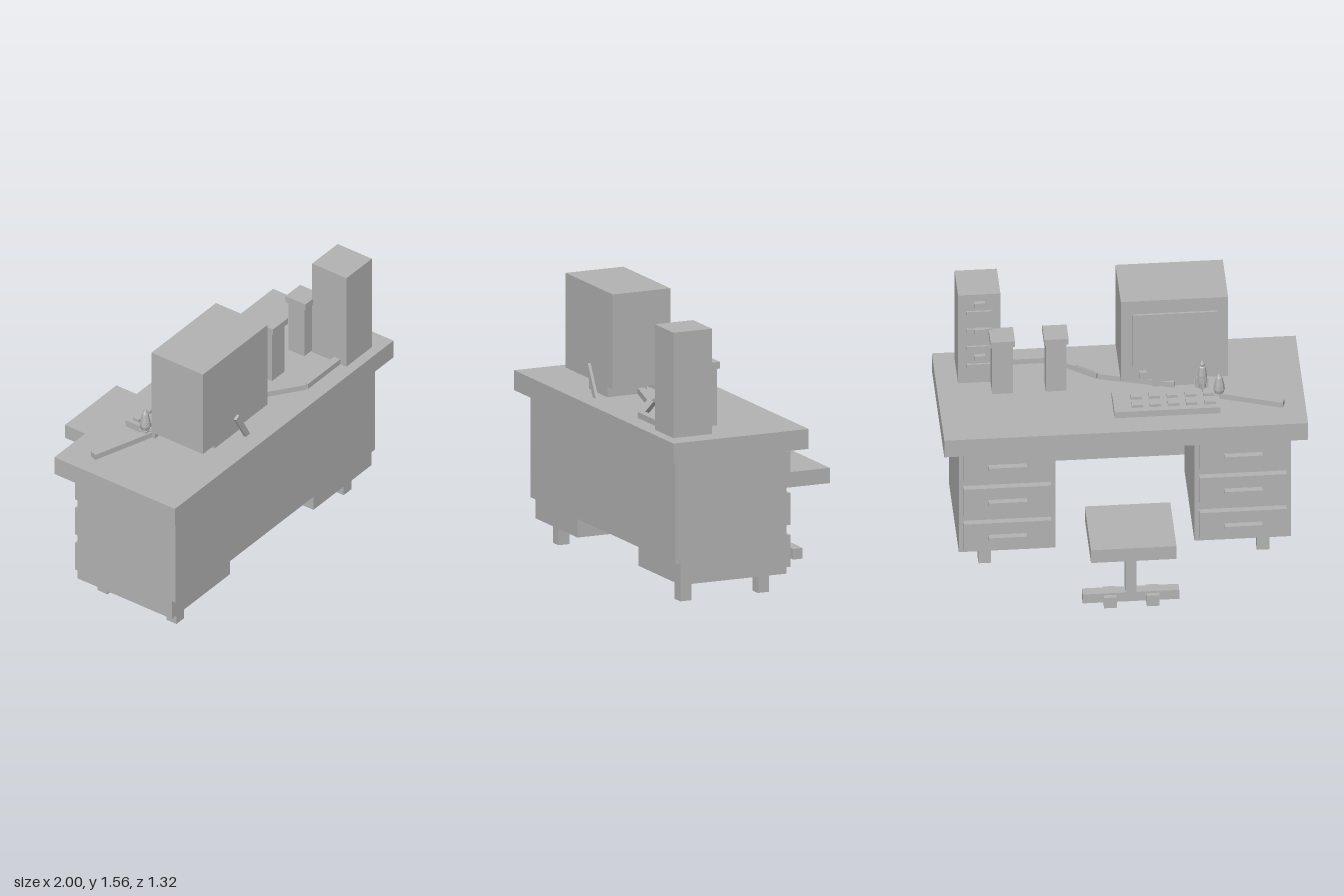
import * as THREE from 'three';

export function createModel() {
  const root = new THREE.Group();
  const grey = new THREE.MeshStandardMaterial({ color: 0xb3b3b3 });
  grey.name = 'plain grey';
  const facets = grey;

  function group(name) {
    const g = new THREE.Group();
    g.name = name;
    root.add(g);
    return g;
  }
  // Box given by its limits on each axis
  function box(parent, name, x0, x1, y0, y1, z0, z1) {
    const m = new THREE.Mesh(new THREE.BoxGeometry(x1 - x0, y1 - y0, z1 - z0), grey);
    m.position.set((x0 + x1) / 2, (y0 + y1) / 2, (z0 + z1) / 2);
    m.name = name;
    parent.add(m);
    return m;
  }
  // Flat strip lying on the desk between two points (x, z)
  function strip(parent, name, [xa, za], [xb, zb], w = 0.042) {
    const len = Math.hypot(xb - xa, zb - za);
    const m = new THREE.Mesh(new THREE.BoxGeometry(len, 0.035, w), grey);
    m.position.set((xa + xb) / 2, 0.9575, (za + zb) / 2);
    m.rotation.y = -Math.atan2(zb - za, xb - xa);
    m.name = name;
    parent.add(m);
  }
  // Bar tilted in the front plane between two points (x, y)
  function tilted(parent, name, [xa, ya], [xb, yb], h, z0, z1) {
    const m = box(parent, name, 0, Math.hypot(xb - xa, yb - ya), 0, h, z0, z1);
    m.position.set((xa + xb) / 2, (ya + yb) / 2, (z0 + z1) / 2);
    m.rotation.z = Math.atan2(yb - ya, xb - xa);
  }
  function lathe(parent, name, pts, x, z, sides) {
    const geo = new THREE.LatheGeometry(pts.map(p => new THREE.Vector2(p[0], p[1])), sides).toNonIndexed();
    geo.computeVertexNormals();
    const m = new THREE.Mesh(geo, facets);
    m.position.set(x, 0, z);
    m.name = name;
    parent.add(m);
  }

  // Desk with two drawer pedestals
  const desk = group('desk');
  box(desk, 'deskTop', -1, 1, 0.83, 0.942, -0.163, 0.66);
  box(desk, 'modestyPanel', -0.915, 0.91, 0.24, 0.83, 0.572, 0.602);
  for (const s of [-1, 1]) {
    const c = s * 0.6475;
    box(desk, 'pedestal', c - 0.265, c + 0.265, 0.12, 0.83, -0.072, 0.574);
    for (const z of [0.015, 0.487])
      box(desk, 'deskLeg', s * 0.765 - 0.035, s * 0.765 + 0.035, 0, 0.12, z - 0.034, z + 0.034);
    for (const y of [0.24, 0.475, 0.71]) {
      box(desk, 'drawerFront', c - 0.24, c + 0.24, y - 0.09, y + 0.09, -0.108, -0.072);
      box(desk, 'drawerHandle', c - 0.105, c + 0.105, y - 0.013, y + 0.013, -0.142, -0.108);
    }
  }

  // Stool
  const stool = group('stool');
  box(stool, 'seat', -0.235, 0.235, 0.43, 0.516, -0.663, -0.25);
  box(stool, 'pole', -0.03, 0.03, 0.09, 0.43, -0.483, -0.425);
  box(stool, 'base', -0.265, 0.265, 0.03, 0.09, -0.483, -0.425);
  for (const x of [-0.12, 0.115])
    box(stool, 'stoolFoot', x - 0.035, x + 0.035, 0.008, 0.078, -0.508, -0.4);

  // Monitor
  const monitor = group('monitor');
  box(monitor, 'monitorCase', -0.59, 0, 1.03, 1.562, 0.194, 0.545);
  box(monitor, 'screen', -0.53, -0.065, 1.13, 1.475, 0.182, 0.194);
  box(monitor, 'powerButton', -0.14, -0.1, 1.055, 1.095, 0.17, 0.194);
  box(monitor, 'monitorStand', -0.41, -0.18, 0.942, 1.03, 0.25, 0.49);
  tilted(monitor, 'rearCable', [-0.293, 1.112], [0.175, 0.275], 0.034, 0.545, 0.561);

  // Keyboard
  const keyboard = group('keyboard');
  box(keyboard, 'keyboardBase', -0.53, 0.053, 0.942, 0.982, -0.03, 0.172);
  for (let i = 0; i < 5; i++)
    for (const z of [0.023, 0.1]) {
      const x = -0.475 + i * 0.1;
      box(keyboard, 'key', x - 0.031, x + 0.031, 0.982, 1, z - 0.02, z + 0.02);
    }

  // Tower with slots and knobs on the user's side
  const tower = group('tower');
  box(tower, 'towerCase', 0.647, 0.88, 0.942, 1.534, 0.368, 0.602);
  for (const y of [1.415, 1.297, 1.18, 1.06])
    box(tower, 'slot', 0.692, 0.833, y - 0.011, y + 0.011, 0.357, 0.368);
  for (const y of [1.475, 1.297, 1.12])
    box(tower, 'knob', 0.733, 0.793, y - 0.014, y + 0.014, 0.344, 0.368);

  // Speakers
  for (const x of [0.35, 0.645]) {
    const speaker = group('speaker');
    box(speaker, 'speakerBody', x - 0.057, x + 0.057, 0.942, 1.262, 0.251, 0.358);
    box(speaker, 'speakerCap', x - 0.067, x + 0.067, 1.262, 1.3, 0.237, 0.373);
  }

  // Cables lying on the desk and a propped pen
  const cables = group('cables');
  const path = [[0.66, 0.54], [0.35, 0.54], [0.11, 0.365], [-0.3, 0.25]];
  for (let i = 0; i < 3; i++) strip(cables, 'deskCable', path[i], path[i + 1]);
  strip(cables, 'sideCable', [-0.88, 0.012], [-0.5, 0.14]);
  tilted(cables, 'pen', [0.13, 0.965], [0.235, 1.018], 0.022, 0.352, 0.372);

  // Small pointed ornaments beside the keyboard
  const tall = group('tallOrnament');
  lathe(tall, 'tallBody', [[0, 0.975], [0.02, 0.975], [0.026, 1.02], [0.026, 1.07], [0.018, 1.12],
    [0.012, 1.125], [0.014, 1.14], [0, 1.168]], -0.445, 0.168, 8);
  for (const s of [-1, 1]) {
    box(tall, 'tallFin', -0.445 + s * 0.028 - 0.007, -0.445 + s * 0.028 + 0.007, 0.96, 1.05, 0.16, 0.176);
    box(tall, 'tallFin', -0.452, -0.438, 0.975, 1.05, 0.168 + s * 0.024 - 0.007, 0.168 + s * 0.024 + 0.007);
  }
  const small = group('smallOrnament');
  lathe(small, 'smallBody', [[0, 0.975], [0.022, 0.975], [0.032, 1.01], [0.028, 1.04], [0.018, 1.085],
    [0, 1.115]], -0.533, 0.108, 8);
  box(small, 'smallBase', -0.56, -0.506, 0.965, 0.985, 0.082, 0.134);

  return root;
}
